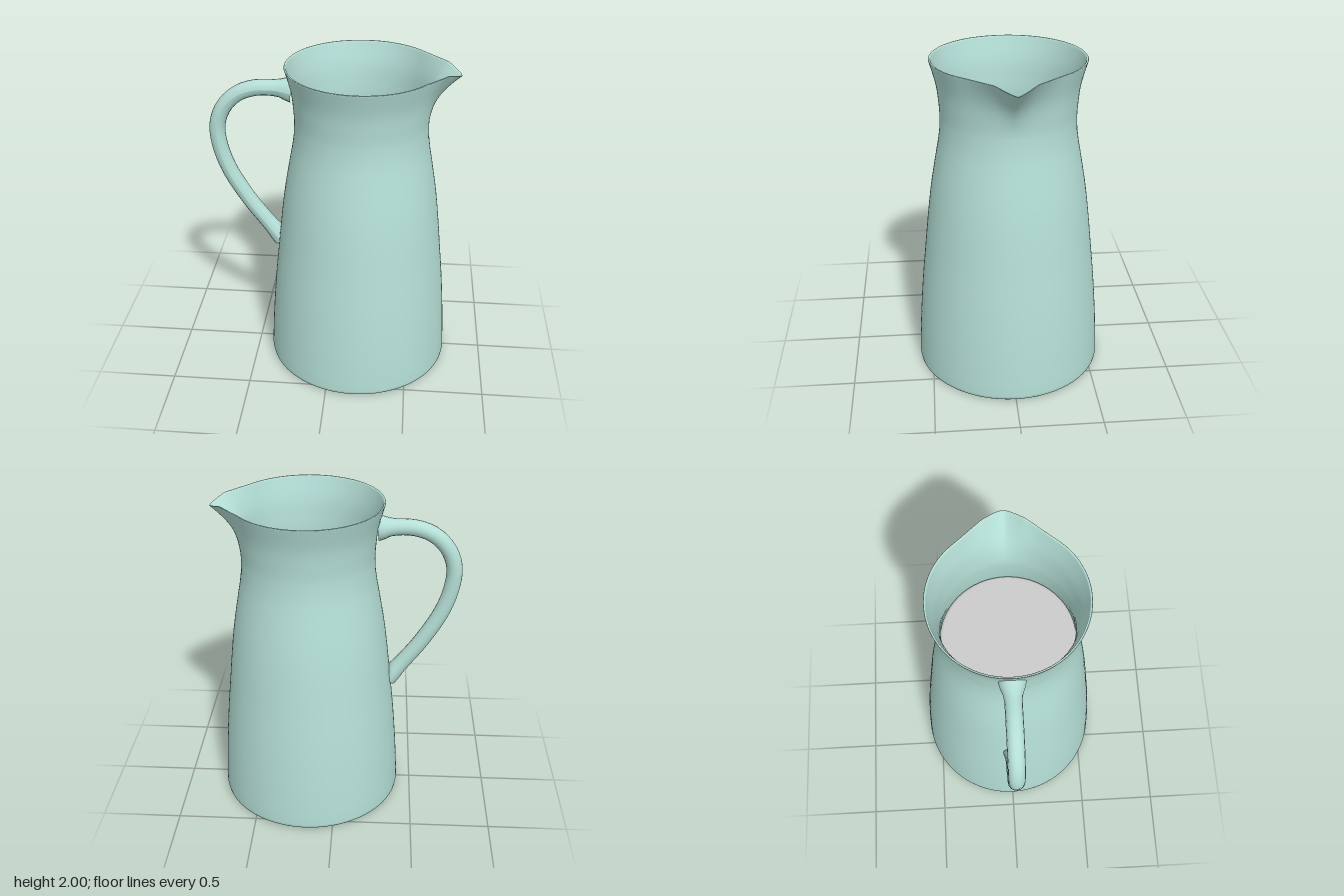
import * as THREE from 'three';

const CX = 0.172; // axis of the jug body
const WALL = 0.012;
const NECK = 1.65; // the spout grows out of the wall above this height

// Outer body radius by height
const profile = new THREE.SplineCurve([
  [0.583, 0.03], [0.573, 0.22], [0.56, 0.4], [0.542, 0.6], [0.52, 0.8], [0.498, 1.0], [0.472, 1.2],
  [0.437, 1.4], [0.412, 1.54], [0.405, 1.64], [0.409, 1.74], [0.423, 1.86], [0.46, 2.0],
].map(([r, y]) => new THREE.Vector2(r, y))).getPoints(240);

function radiusAt(y) {
  if (y <= profile[0].y) return profile[0].x;
  const i = profile.findIndex((p) => p.y >= y);
  if (i < 1) return profile[profile.length - 1].x;
  const a = profile[i - 1], b = profile[i];
  return a.x + (b.x - a.x) * (y - a.y) / (b.y - a.y);
}

// Extra radius and rim dip that pull the wall into a pouring lip at +x
function spoutPoint(r, y, angle) {
  const a = Math.min(angle, Math.PI * 2 - angle) * 180 / Math.PI;
  const t = Math.max(0, (y - NECK) / (2 - NECK));
  const pull = Math.max(0, 1 - Math.max(0, Math.hypot(a, 2) - 2) / 38) ** 2;
  const dip = Math.max(0, 1 - a / 13);
  const radius = r + 0.123 * pull * t ** 2.3;
  return [CX + radius * Math.cos(angle), y - 0.04 * dip * t, radius * Math.sin(angle)];
}

function bodyGeometry() {
  // Section: bottom, rounded foot, outer wall, rim, inner wall, floor
  const rows = [[0, 0.004], [0.55, 0.004], [0.56, 0], [0.572, 0.002], [0.58, 0.01]];
  const heights = [];
  for (let i = 0; i <= 20; i++) heights.push(0.03 + i * (NECK - 0.03) / 20);
  for (let i = 1; i <= 16; i++) heights.push(NECK + i * (1.99 - NECK) / 16);
  heights.push(1.997);
  heights.forEach((y) => rows.push([radiusAt(y), y]));
  rows.push([radiusAt(2) - 0.003, 2], [radiusAt(2) - WALL + 0.003, 2]);
  heights.reverse().forEach((y) => rows.push([radiusAt(y) - WALL, y]));
  rows.push([0.55, 0.025], [0, 0.025]);

  const n = 160, pos = [], index = [];
  rows.forEach(([r, y], i) => {
    for (let j = 0; j < n; j++) {
      pos.push(...spoutPoint(r, y, j / n * Math.PI * 2));
      if (i === rows.length - 1) continue;
      const a = i * n + j, b = i * n + (j + 1) % n;
      index.push(a, a + n, b, b, a + n, b + n);
    }
  });
  const g = new THREE.BufferGeometry();
  g.setAttribute('position', new THREE.Float32BufferAttribute(pos, 3));
  g.setIndex(index);
  g.computeVertexNormals();
  return g;
}

function handleGeometry() {
  const path = new THREE.CatmullRomCurve3([
    [-0.245, 1.838], [-0.32, 1.845], [-0.47, 1.842], [-0.58, 1.8], [-0.665, 1.715], [-0.71, 1.6],
    [-0.705, 1.47], [-0.655, 1.3], [-0.54, 1.09], [-0.43, 0.935], [-0.33, 0.805],
  ].map(([x, y]) => new THREE.Vector3(x, y, 0)));
  const segs = 40, sides = 16;
  const g = new THREE.TubeGeometry(path, segs, 0.049, sides, false);
  const p = g.attributes.position, v = new THREE.Vector3();
  for (let i = 0; i < p.count; i++) {
    const t = Math.floor(i / (sides + 1)) / segs;
    const c = path.getPointAt(t);
    // Flare both ends where they melt into the wall
    const flare = 1 + 0.6 * Math.exp(-((t / 0.04) ** 2)) + 0.25 * Math.exp(-(((1 - t) / 0.06) ** 2));
    v.fromBufferAttribute(p, i).sub(c).multiplyScalar(flare).add(c);
    // Keep the ends from showing inside the jug
    const d = Math.hypot(v.x - CX, v.z), min = radiusAt(v.y) - 0.006;
    if (d < min) {
      v.x = CX + (v.x - CX) * min / d;
      v.z *= min / d;
    }
    p.setXYZ(i, v.x, v.y, v.z);
  }
  g.computeVertexNormals();
  return g;
}

function liquidGeometry() {
  const level = 1.5, gap = WALL + 0.003, pts = [new THREE.Vector2(0, 0.03), new THREE.Vector2(0.54, 0.03)];
  for (let i = 0; i <= 20; i++) {
    const y = 0.05 + i * (level - 0.07) / 20;
    pts.push(new THREE.Vector2(radiusAt(y) - gap, y));
  }
  // Rounded edge of the surface
  const edge = radiusAt(level - 0.02) - gap;
  for (let i = 1; i <= 5; i++) {
    const a = i / 5 * Math.PI / 2;
    pts.push(new THREE.Vector2(edge - 0.02 + 0.02 * Math.cos(a), level - 0.02 + 0.02 * Math.sin(a)));
  }
  pts.push(new THREE.Vector2(edge - 0.03, level), new THREE.Vector2(0, level));
  return new THREE.LatheGeometry(pts, 64);
}

export function createModel() {
  const group = new THREE.Group();
  group.name = 'jug';
  const glaze = new THREE.MeshStandardMaterial({ color: 0xb4dfd6 });
  const grey = new THREE.MeshStandardMaterial({ color: 0xcccccc });
  const add = (name, geometry, material) => {
    const mesh = new THREE.Mesh(geometry, material);
    mesh.name = name;
    group.add(mesh);
    return mesh;
  };
  add('body', bodyGeometry(), glaze);
  add('handle', handleGeometry(), glaze);
  add('liquid', liquidGeometry(), grey).position.x = CX;
  return group;
}
